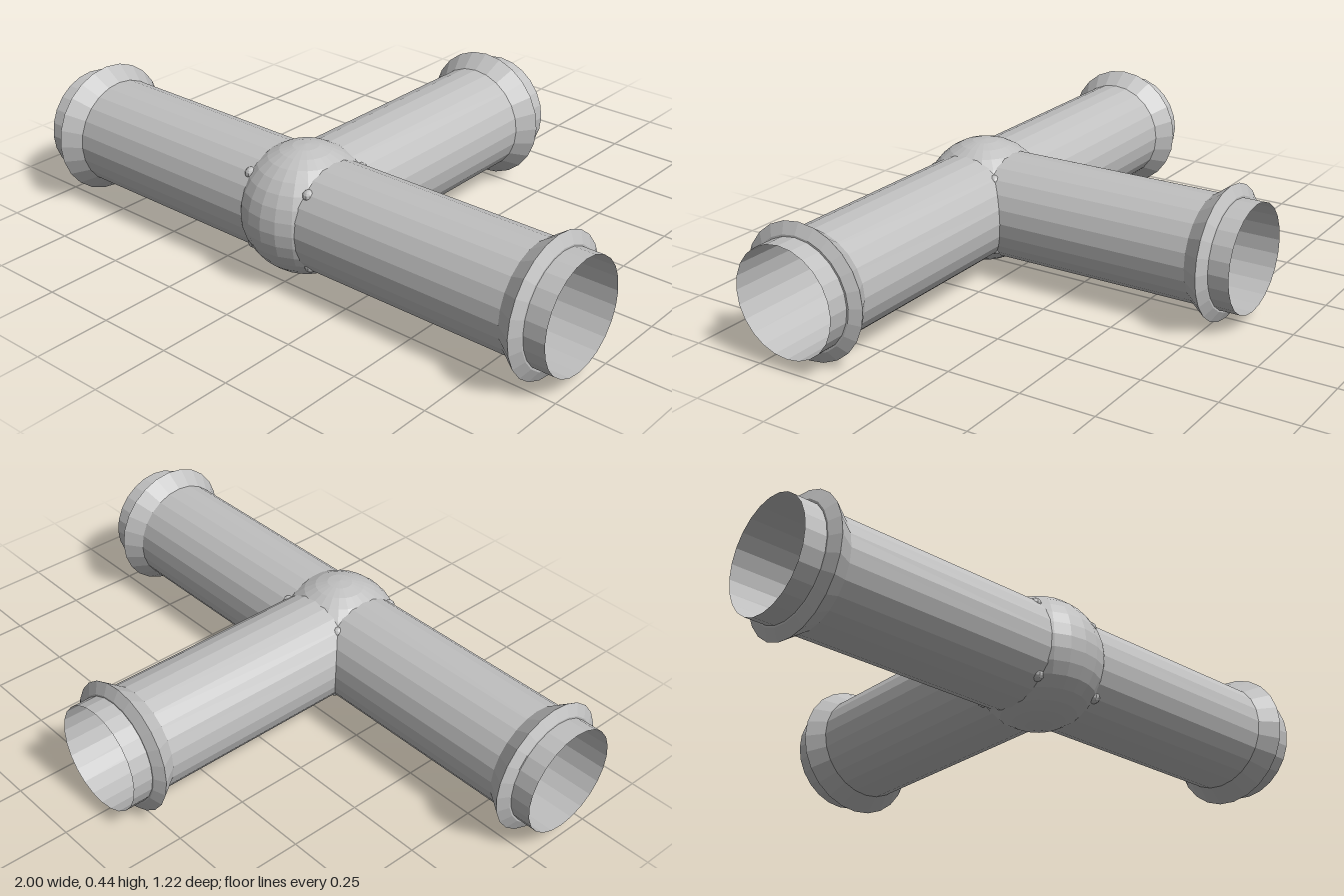
import * as THREE from 'three';

export function createModel() {
  const group = new THREE.Group();
  group.name = 'teePipe';
  const steel = new THREE.MeshStandardMaterial({ color: 0xc0c0c0, flatShading: true, side: THREE.DoubleSide });
  steel.name = 'grey steel';
  const R = 0.178;
  const centre = new THREE.Vector3(0, 0.22, 0.39);

  // One arm: open thin pipe with a flared collar near its mouth, running along +y from the joint
  const pipeGeo = new THREE.CylinderGeometry(R, R, 1, 24, 1, true).translate(0, 0.5, 0);
  const collarGeo = new THREE.LatheGeometry(
    [[R, 0.85], [0.22, 0.91], [R + 0.006, 0.93], [R, 0.93]].map(([r, y]) => new THREE.Vector2(r, y)), 24);

  function arm(name, rx, rz) {
    const g = new THREE.Group();
    g.name = name;
    const pipe = new THREE.Mesh(pipeGeo, steel);
    pipe.name = name + 'Pipe';
    const collar = new THREE.Mesh(collarGeo, steel);
    collar.name = name + 'Collar';
    g.add(pipe, collar);
    g.rotation.set(rx, 0, rz);
    g.position.copy(centre);
    group.add(g);
  }
  arm('leftArm', 0, -Math.PI / 2);
  arm('rightArm', 0, Math.PI / 2);
  arm('backArm', -Math.PI / 2, 0);

  // Round joint where the arms meet
  const joint = new THREE.Mesh(new THREE.SphereGeometry(0.21, 24, 16), steel);
  joint.name = 'jointBall';
  joint.position.copy(centre);
  group.add(joint);

  // Small rivets on the joint
  const rivetGeo = new THREE.SphereGeometry(0.02, 10, 8);
  for (const x of [-1, 1]) for (const y of [-1, 1]) for (const z of [-1, 1]) {
    const rivet = new THREE.Mesh(rivetGeo, steel);
    rivet.name = 'rivet';
    rivet.position.set(x, y, z).multiplyScalar(0.118).add(centre);
    group.add(rivet);
  }
  return group;
}
